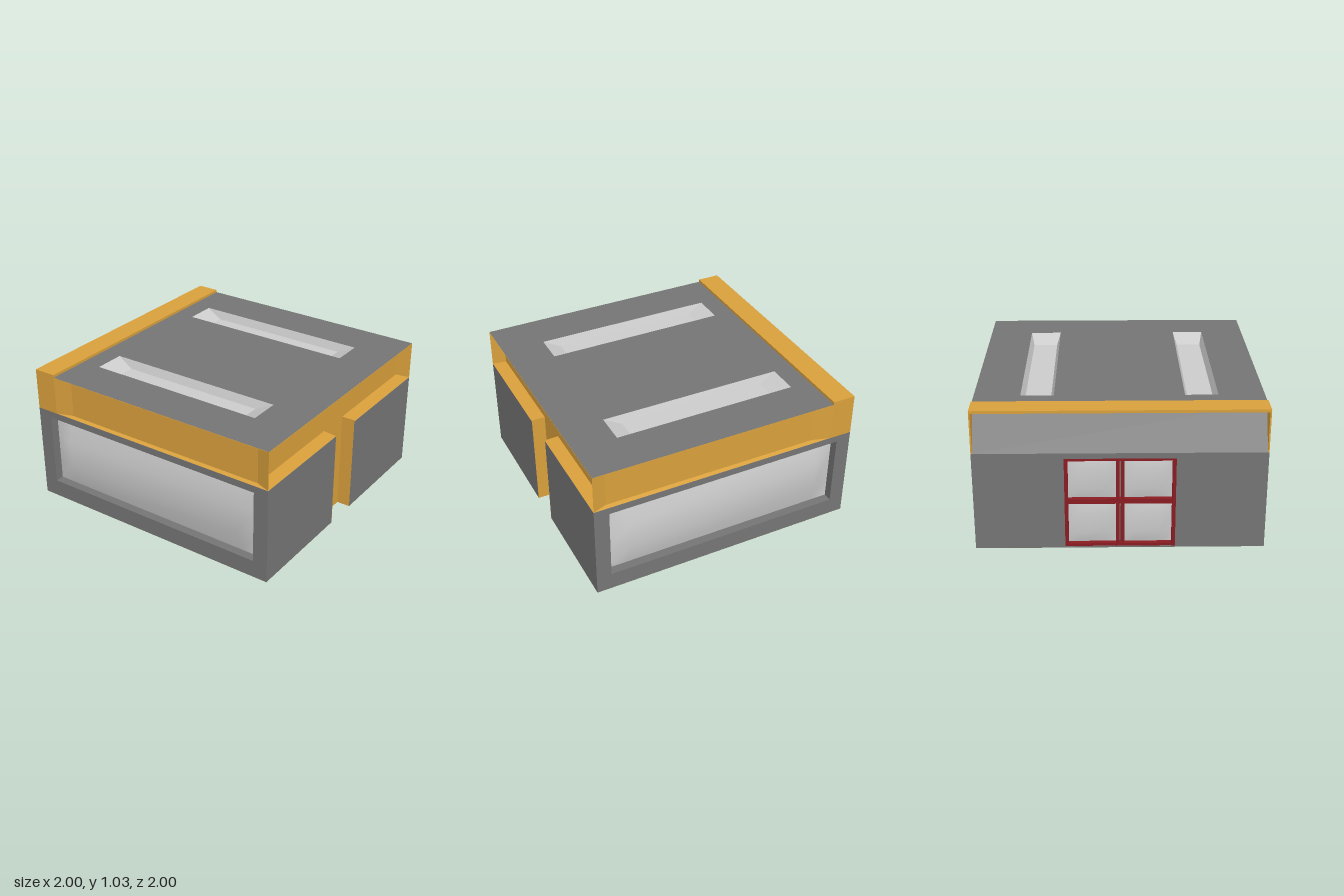
import * as THREE from 'three';

const mat = (color) => new THREE.MeshStandardMaterial({ color, side: THREE.DoubleSide });
const concrete = mat(0x757575), orange = mat(0xd9a03c), glass = mat(0xcccccc);
const red = mat(0x8a1c22), baseMat = mat(0x66665a);

function add(parent, name, geometry, material, x = 0, y = 0, z = 0) {
  const mesh = new THREE.Mesh(geometry, material);
  mesh.name = name;
  mesh.position.set(x, y, z);
  parent.add(mesh);
  return mesh;
}

const shapeOf = (pts) => new THREE.Shape(pts.map(([x, y]) => new THREE.Vector2(x, y)));
const rect = (x0, y0, x1, y1) => [[x0, y0], [x1, y0], [x1, y1], [x0, y1]];

function holed(outer, holes) {
  const s = shapeOf(outer);
  holes.forEach((h) => s.holes.push(shapeOf(h)));
  return s;
}

const extrude = (shape, depth) => new THREE.ExtrudeGeometry(shape, { depth, bevelEnabled: false });

// Flat-shaded skin between rings, each { y, pts: [[x, z], ...] }
function loft(rings, closed = true) {
  const pos = [];
  for (let r = 0; r < rings.length - 1; r++) {
    const a = rings[r], b = rings[r + 1], n = a.pts.length;
    for (let i = 0; i < (closed ? n : n - 1); i++) {
      const j = (i + 1) % n;
      const p = (ring, k) => [ring.pts[k][0], ring.y, ring.pts[k][1]];
      pos.push(...p(a, i), ...p(a, j), ...p(b, j), ...p(a, i), ...p(b, j), ...p(b, i));
    }
  }
  const g = new THREE.BufferGeometry();
  g.setAttribute('position', new THREE.Float32BufferAttribute(pos, 3));
  g.computeVertexNormals();
  return g;
}

// Softly shaded pane whose middle stands forward of its rim
function bulgedPane(w, h, insetX, insetY, bulge) {
  const g = new THREE.PlaneGeometry(w, h, 3, 3);
  const p = g.attributes.position;
  for (let i = 0; i < p.count; i++) {
    const x = p.getX(i), y = p.getY(i);
    const inside = Math.abs(x) < w * 0.4 && Math.abs(y) < h * 0.4;
    if (Math.abs(x) < w * 0.4) p.setX(i, Math.sign(x) * (w / 2 - insetX));
    if (Math.abs(y) < h * 0.4) p.setY(i, Math.sign(y) * (h / 2 - insetY));
    if (inside) p.setZ(i, bulge);
  }
  g.computeVertexNormals();
  return g;
}

// Plan of the storey with the notch for the channel on its left side
const notchedPlan = (x0, z, x1, notchX, notchZ) => [
  [x0, -z], [x1, -z], [x1, -notchZ], [notchX, -notchZ],
  [notchX, notchZ], [x1, notchZ], [x1, z], [x0, z],
];

export function createModel() {
  const model = new THREE.Group();
  model.name = 'building';

  // Lower storey
  const core = extrude(shapeOf(notchedPlan(-0.95, 0.93, 1, 0.897, 0.133)), 0.718).rotateX(-Math.PI / 2);
  add(model, 'storeyCore', core, concrete, 0, 0.002);
  const plan = new THREE.ShapeGeometry(shapeOf(notchedPlan(-1, 1, 1, 0.9, 0.13))).rotateX(Math.PI / 2);
  add(model, 'basePlate', plan, baseMat);

  // Front and back walls, each with one wide window
  for (const [name, turn] of [['front', 0], ['back', Math.PI]]) {
    const side = new THREE.Group();
    side.name = name + 'Side';
    side.rotation.y = turn;
    const wall = holed(rect(-1, 0.002, 1, 0.72), [rect(-0.89, 0.13, 0.89, 0.67)]);
    add(side, name + 'Wall', extrude(wall, 0.07), concrete, 0, 0, 0.93);
    add(side, name + 'Window', bulgedPane(1.78, 0.54, 0.15, 0.17, 0.045), glass, 0, 0.4, 0.935);
    model.add(side);
  }

  // Entrance side: wall with a red-framed four-pane glazed door
  const entry = new THREE.Group();
  entry.name = 'entranceSide';
  entry.rotation.y = -Math.PI / 2;
  const entryWall = holed(rect(-0.93, 0.002, 0.93, 0.72), [rect(-0.38, 0.01, 0.38, 0.68)]);
  add(entry, 'entranceWall', extrude(entryWall, 0.05), concrete, 0, 0, 0.95);
  for (const sx of [-1, 1]) {
    for (const y of [0.185, 0.52]) {
      add(entry, 'doorPane', bulgedPane(0.35, 0.31, 0.08, 0.08, 0.02), glass, sx * 0.19, y, 0.96);
    }
    add(entry, 'doorStile', new THREE.BoxGeometry(0.025, 0.67, 0.045), red, sx * 0.3675, 0.345, 0.975);
    add(entry, 'doorMiddleStile', new THREE.BoxGeometry(0.025, 0.67, 0.045), red, sx * 0.017, 0.345, 0.975);
  }
  for (const [y, h] of [[0.02, 0.02], [0.355, 0.035], [0.67, 0.02]]) {
    add(entry, 'doorRail', new THREE.BoxGeometry(0.76, h, 0.04), red, 0, y, 0.975);
  }
  model.add(entry);

  // Orange vertical channel, open to the left side
  const channel = [[1, 0.13], [0.9, 0.13], [0.9, -0.13], [1, -0.13]];
  add(model, 'channelLining', loft([{ y: 0, pts: channel }, { y: 0.73, pts: channel }], false), orange);
  const channelFloor = new THREE.PlaneGeometry(0.1, 0.26).rotateX(Math.PI / 2);
  add(model, 'channelFloor', channelFloor,
    new THREE.MeshStandardMaterial({ color: 0xd9a03c }), 0.95, 0.001);

  // Recessed orange band with sloping ledges above and below
  const tail = (z, x) => [[x, -z], [-0.83, -1], [-0.83, 1], [x, z]];
  const sill = [[1, 1], [1, 0.13], [0.9, 0.13], [0.9, -0.13], [1, -0.13], [1, -1], ...tail(1, -0.83)];
  const inner = [[0.9, 0.97], [0.9, 0.13], [0.9, 0.13], [0.9, -0.13], [0.9, -0.13], [0.9, -0.97],
    ...tail(0.97, -0.69)];
  const eave = [[1, 1], [1, 0.13], [1, 0.13], [1, -0.13], [1, -0.13], [1, -1], ...tail(1, -0.83)];
  add(model, 'upperBand', loft([
    { y: 0.722, pts: sill }, { y: 0.73, pts: inner }, { y: 1, pts: inner }, { y: 1.008, pts: eave },
  ]), orange);
  for (const s of [-1, 1]) {
    const fin = [[0.9, 0.97 * s], [1, s]];
    add(model, 'bandCornerFin', loft([{ y: 0.72, pts: fin }, { y: 1.01, pts: fin }], false), orange);
  }

  // Roof with two sunken skylights
  const spans = [[0.45, 0.68], [-0.68, -0.45]];
  const roof = holed(rect(-0.83, -1, 1, 1), spans.map(([a, b]) => rect(-0.68, a, 0.68, b)));
  add(model, 'roof', new THREE.ShapeGeometry(roof).rotateX(-Math.PI / 2), concrete, 0, 1.01);
  for (const [a, b] of spans) {
    const floor = rect(-0.55, a + 0.025, 0.55, b - 0.025);
    add(model, 'skylightSides', loft([
      { y: 0.95, pts: floor }, { y: 1.01, pts: rect(-0.68, a, 0.68, b) },
    ]), glass);
    add(model, 'skylightPane', new THREE.PlaneGeometry(1.1, b - a - 0.05).rotateX(-Math.PI / 2),
      glass, 0, 0.95, (a + b) / 2);
  }

  // Canopy over the entrance: slab, end cheeks and sloping back
  add(model, 'canopySlab', new THREE.BoxGeometry(0.17, 0.02, 2), orange, -0.915, 1.02);
  for (const s of [-1, 1]) {
    add(model, 'canopyCheek', new THREE.BoxGeometry(0.17, 0.29, 0.01), orange, -0.915, 0.865, s * 0.995);
  }
  add(model, 'canopySlope', loft([
    { y: 0.72, pts: [[-1, -0.99], [-1, 0.99]] },
    { y: 1.01, pts: [[-0.84, -0.99], [-0.84, 0.99]] },
  ], false), concrete);

  return model;
}
